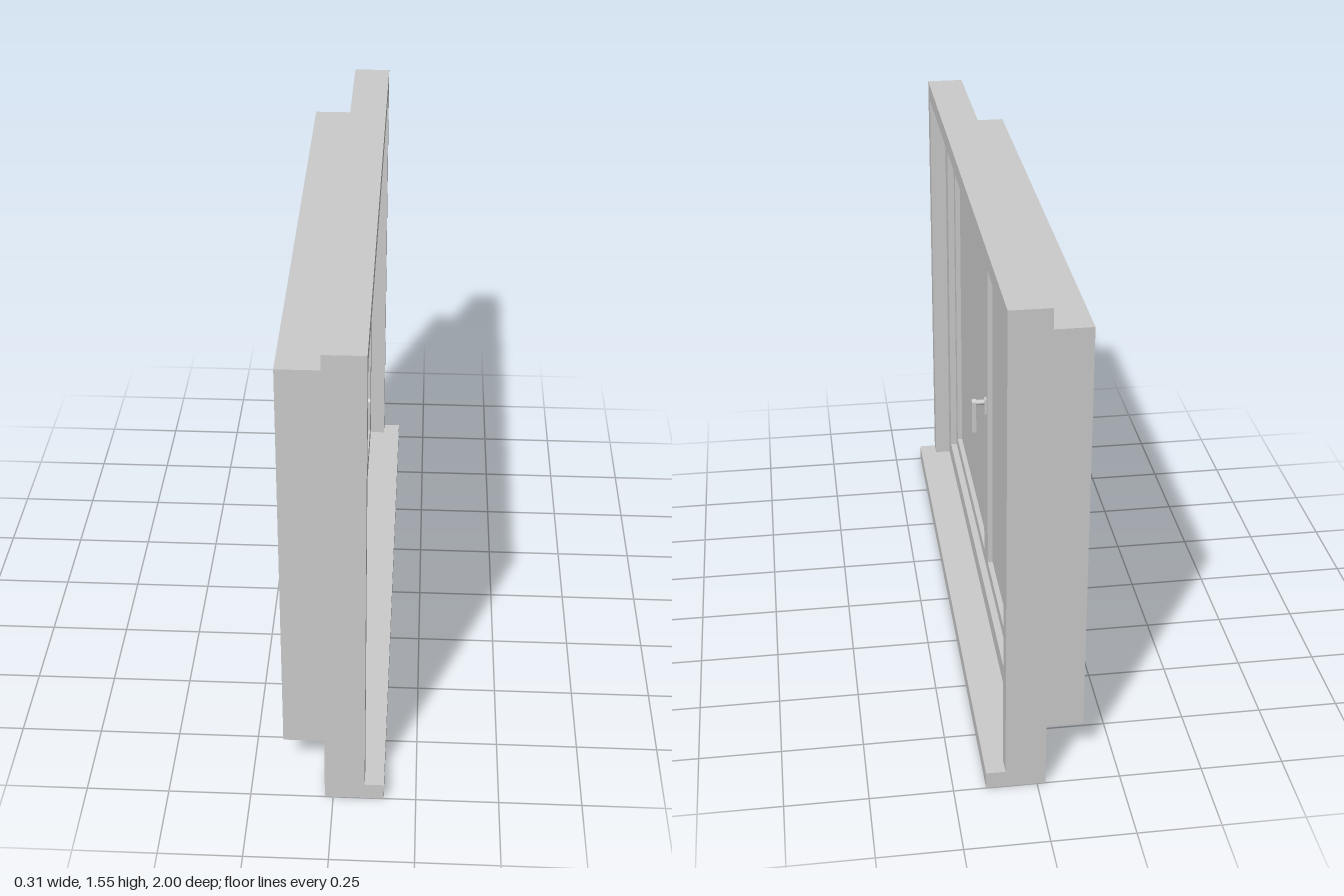
import * as THREE from 'three';

const material = new THREE.MeshStandardMaterial({ color: 0xcccccc, side: THREE.DoubleSide });

function add(parent, name, geometry) {
  const mesh = new THREE.Mesh(geometry, material);
  mesh.name = name;
  parent.add(mesh);
  return mesh;
}

// Box given by its limits on each axis
function box(parent, name, [x0, x1], [y0, y1], [z0, z1]) {
  const mesh = add(parent, name, new THREE.BoxGeometry(x1 - x0, y1 - y0, z1 - z0));
  mesh.position.set((x0 + x1) / 2, (y0 + y1) / 2, (z0 + z1) / 2);
  return mesh;
}

function rectangle(target, [z0, z1, y0, y1]) {
  target.moveTo(-z0, y0);
  target.lineTo(-z1, y0);
  target.lineTo(-z1, y1);
  target.lineTo(-z0, y1);
  target.closePath();
  return target;
}

// Rectangular frame in the yz plane, from x0 to x1; rectangles are [z0, z1, y0, y1]
function frame(parent, name, x0, x1, outer, holes) {
  const shape = rectangle(new THREE.Shape(), outer);
  shape.holes = holes.map((h) => rectangle(new THREE.Path(), h));
  const geometry = new THREE.ExtrudeGeometry(shape, { depth: x1 - x0, bevelEnabled: false });
  geometry.rotateY(Math.PI / 2);
  geometry.translate(x0, 0, 0);
  return add(parent, name, geometry);
}

export function createModel() {
  const model = new THREE.Group();
  model.name = 'window';

  const opening = [-0.945, 0.945, 0.055, 1.495];
  const inner = [-0.885, 0.885, 0.118, 1.435];
  const lining = [-0.881, 0.881, 0.122, 1.431];
  const panes = [[0.05, 0.84, 0.165, 1.388], [-0.84, -0.042, 0.165, 1.388]];

  // Outer casing and projecting sill
  frame(model, 'outerFrame', -0.025, 0.095, [-1, 1, 0, 1.55], [opening]);
  box(model, 'sill', [0.095, 0.153], [0, 0.055], [-1, 1]);

  // Thin flange joining the casing to the deep rear lining
  frame(model, 'flange', 0.036, 0.042, opening, [inner]);
  frame(model, 'rearLining', -0.158, 0.042, inner, [lining]);

  // Sash with two openings and their glass
  frame(model, 'sash', -0.03, 0.02, lining, panes);
  for (const [z0, z1, y0, y1] of panes) {
    box(model, 'pane', [-0.003, 0.003], [y0, y1], [z0, z1]);
  }

  // Lever handle on the central post
  const handle = new THREE.Group();
  handle.name = 'handle';
  handle.position.set(0.02, 0, -0.02);
  model.add(handle);
  box(handle, 'handlePlate', [0, 0.008], [0.735, 0.787], [-0.011, 0.011]);
  const spindle = add(handle, 'spindle', new THREE.CylinderGeometry(0.009, 0.009, 0.04, 16));
  spindle.rotation.z = Math.PI / 2;
  spindle.position.set(0.022, 0.775, 0);

  // Flat lever with a rounded top, hanging down
  const lever = new THREE.Shape();
  lever.moveTo(-0.011, 0.67);
  lever.lineTo(0.011, 0.67);
  lever.lineTo(0.011, 0.777);
  lever.absarc(0, 0.777, 0.011, 0, Math.PI, false);
  lever.closePath();
  const leverGeometry = new THREE.ExtrudeGeometry(lever, { depth: 0.014, bevelEnabled: false, curveSegments: 8 });
  leverGeometry.rotateY(Math.PI / 2);
  leverGeometry.translate(0.036, 0, 0);
  add(handle, 'lever', leverGeometry);

  return model;
}
